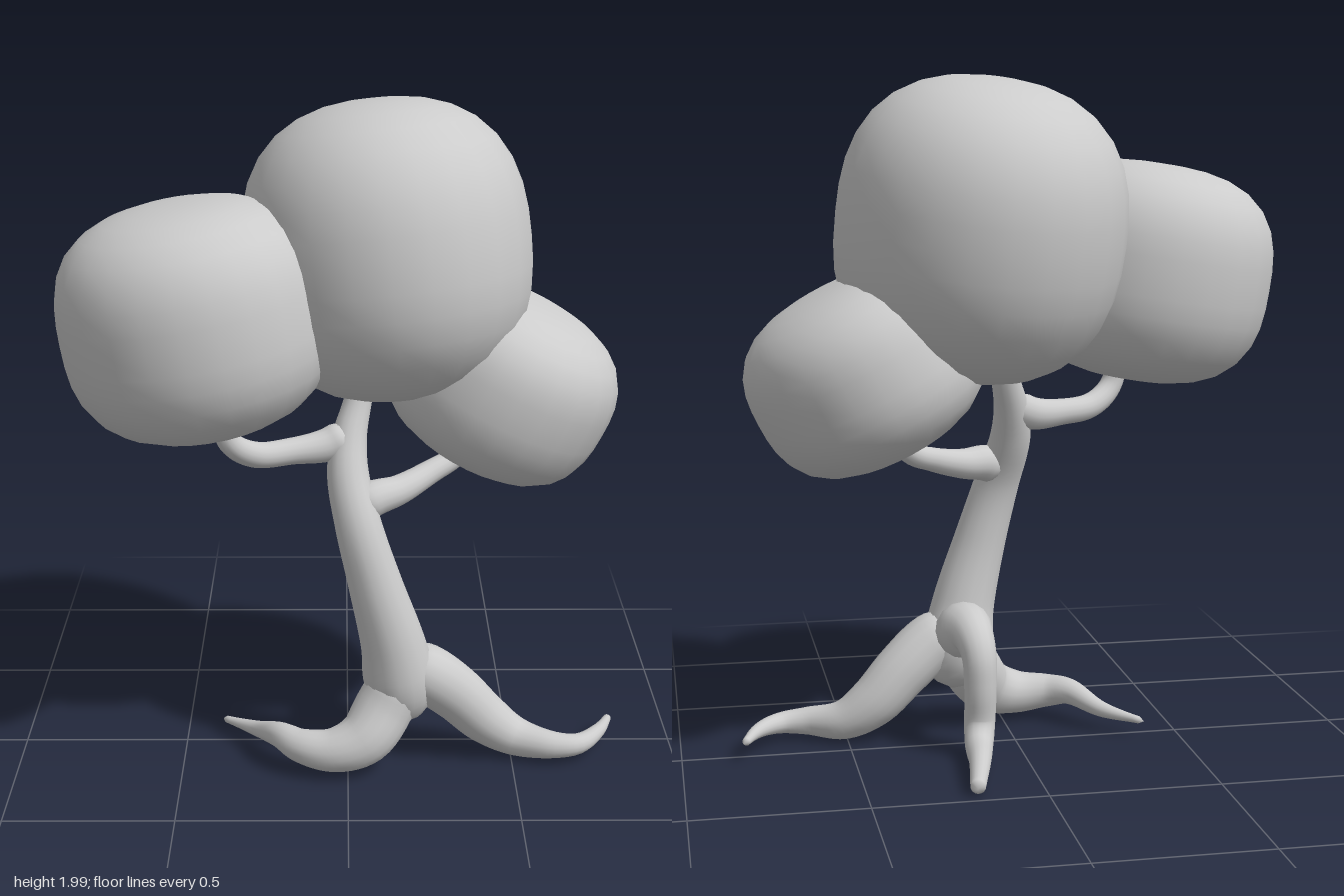
import * as THREE from 'three';
import { mergeVertices } from 'three/addons/utils/BufferGeometryUtils.js';

const material = new THREE.MeshStandardMaterial({ color: 0xcccccc });

function smooth(geometry) {
  geometry.deleteAttribute('uv');
  geometry.deleteAttribute('normal');
  const merged = mergeVertices(geometry, 1e-5);
  merged.computeVertexNormals();
  return merged;
}

// Tapered tube through points [x, y, z, radius], rounded shut at both ends
function limb(name, points, rings = 48, sides = 16) {
  const curve = new THREE.CatmullRomCurve3(points.map(p => new THREE.Vector3(p[0], p[1], p[2])));
  const radii = new THREE.SplineCurve(points.map((p, i) => new THREE.Vector2(i, p[3])));
  const geometry = new THREE.TubeGeometry(curve, rings, 1, sides);
  const pos = geometry.attributes.position;
  const length = curve.getLength();
  const v = new THREE.Vector3();
  for (let i = 0; i <= rings; i++) {
    const u = i / rings;
    const centre = curve.getPointAt(u);
    let r = radii.getPoint(curve.getUtoTmapping(u)).y;
    const end = Math.min(u, 1 - u) * length / r;
    if (end < 1) r *= Math.sqrt(1 - (1 - end) ** 2);
    for (let j = 0; j <= sides; j++) {
      const k = i * (sides + 1) + j;
      v.fromBufferAttribute(pos, k).sub(centre).multiplyScalar(r).add(centre);
      pos.setXYZ(k, v.x, v.y, v.z);
    }
  }
  const mesh = new THREE.Mesh(smooth(geometry), material);
  mesh.name = name;
  return mesh;
}

// Ball with a squared-off side profile, round from above
function foliage(name, centre, size, tilt, power) {
  const geometry = new THREE.SphereGeometry(1, 24, 18);
  const pos = geometry.attributes.position;
  for (let i = 0; i < pos.count; i++) {
    const x = pos.getX(i), y = pos.getY(i), z = pos.getZ(i);
    const k = (Math.hypot(x, z) ** power + Math.abs(y) ** power) ** (-1 / power);
    pos.setXYZ(i, x * k * size[0], y * k * size[1], z * k * size[2]);
  }
  const mesh = new THREE.Mesh(smooth(geometry), material);
  mesh.name = name;
  mesh.position.set(...centre);
  mesh.rotation.set(tilt[0], 0, tilt[1]);
  return mesh;
}

export function createModel() {
  const tree = new THREE.Group();
  tree.name = 'tree';

  // Trunk, leaning to the right and back as it rises
  tree.add(limb('trunk', [
    [0.17, 0.14, 0.13, 0.08], [0.155, 0.28, 0.13, 0.108], [0.135, 0.4, 0.145, 0.097],
    [0.08, 0.6, 0.155, 0.08], [0.03, 0.78, 0.14, 0.069], [0, 0.92, 0.085, 0.062],
    [0.005, 1.02, 0.04, 0.052], [0.03, 1.12, 0, 0.042], [0.06, 1.3, -0.04, 0.04],
  ]));

  // Roots
  tree.add(limb('rightRoot', [
    [0.17, 0.33, 0.14, 0.08], [0.11, 0.2, 0.16, 0.09], [0.05, 0.12, 0.205, 0.084],
    [-0.04, 0.088, 0.225, 0.068], [-0.14, 0.092, 0.205, 0.052], [-0.2, 0.1, 0.155, 0.04],
    [-0.28, 0.07, 0.05, 0.024], [-0.39, 0.055, -0.05, 0.01],
  ]));
  tree.add(limb('leftRoot', [
    [0.15, 0.34, 0.13, 0.08], [0.24, 0.29, 0.12, 0.088], [0.33, 0.215, 0.1, 0.085],
    [0.42, 0.125, 0.09, 0.077], [0.51, 0.07, 0.1, 0.06], [0.62, 0.06, 0.14, 0.042],
    [0.7, 0.06, 0.135, 0.032], [0.77, 0.064, 0.06, 0.022], [0.82, 0.062, -0.05, 0.011],
  ]));
  tree.add(limb('backRoot', [
    [0.15, 0.31, 0.12, 0.08], [0.15, 0.35, 0.03, 0.085], [0.14, 0.358, -0.045, 0.064],
    [0.13, 0.31, -0.105, 0.052], [0.128, 0.21, -0.118, 0.048], [0.13, 0.1, -0.113, 0.046],
    [0.14, 0.052, -0.16, 0.042], [0.16, 0.045, -0.29, 0.032], [0.2, 0.032, -0.48, 0.022],
  ]));

  // Branches
  tree.add(limb('rightBranch', [
    [0.01, 1.03, 0.04, 0.055], [-0.06, 1.0, 0.06, 0.05], [-0.16, 0.995, 0.1, 0.04],
    [-0.27, 1.005, 0.16, 0.038], [-0.34, 1.06, 0.2, 0.034], [-0.37, 1.2, 0.2, 0.03],
  ]));
  tree.add(limb('leftBranch', [
    [0.02, 0.82, 0.12, 0.06], [0.07, 0.845, 0.1, 0.055], [0.15, 0.855, 0.05, 0.045],
    [0.25, 0.885, -0.03, 0.036], [0.33, 0.92, -0.08, 0.032], [0.42, 1.04, -0.09, 0.03],
  ]));

  // Crown
  tree.add(foliage('topFoliage', [0.115, 1.56, -0.06], [0.42, 0.433, 0.48], [-0.12, 0.1], 2.5));
  tree.add(foliage('rightFoliage', [-0.435, 1.412, 0.16], [0.383, 0.33, 0.382], [0, 0.16], 2.8));
  tree.add(foliage('leftFoliage', [0.456, 1.16, -0.07], [0.34, 0.26, 0.36], [0, -0.47], 2.8));

  return tree;
}
